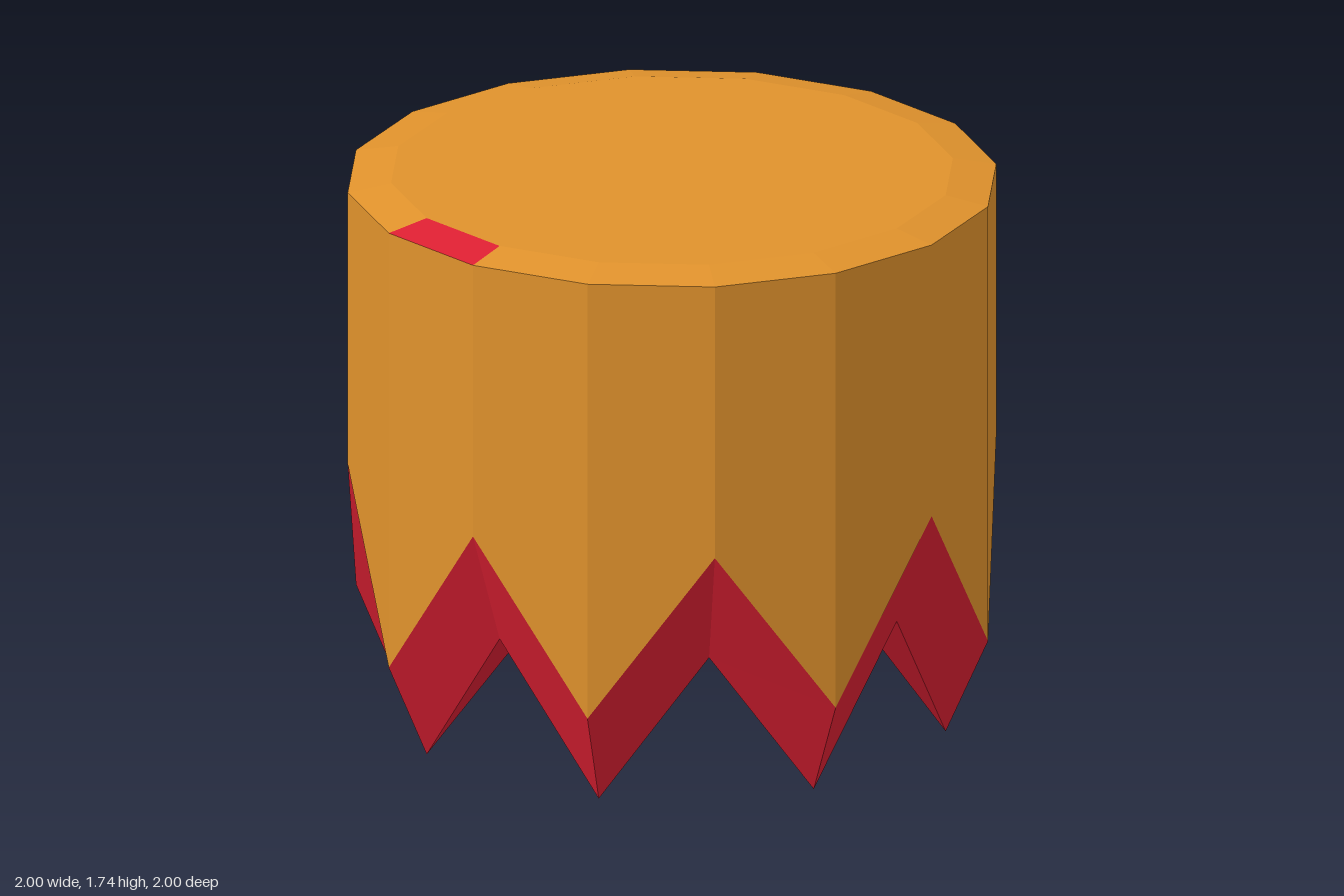
import * as THREE from 'three';

const SIDES = 16;

// Ring of points; height and radius may alternate between even and odd corners
function ring(radius, evenY, oddY = evenY) {
  return Array.from({ length: SIDES }, (_, i) => {
    const a = (i / SIDES) * Math.PI * 2;
    return [radius * Math.sin(a), i % 2 ? oddY : evenY, radius * Math.cos(a)];
  });
}

// Facets joining two rings between corners from..to, outward when going up the outside
function band(a, b, from = 0, to = SIDES) {
  const out = [];
  for (let i = from; i < to; i++) {
    const j = (i + 1) % SIDES;
    if (i % 2) out.push(a[i], a[j], b[j], a[i], b[j], b[i]);
    else out.push(a[i], a[j], b[i], a[j], b[j], b[i]);
  }
  return out;
}

function part(name, material, points) {
  const geometry = new THREE.BufferGeometry();
  geometry.setAttribute('position', new THREE.Float32BufferAttribute(points.flat(), 3));
  geometry.computeVertexNormals();
  const mesh = new THREE.Mesh(geometry, material);
  mesh.name = name;
  return mesh;
}

export function createModel() {
  const group = new THREE.Group();
  group.name = 'toothedDrum';
  const orange = new THREE.MeshStandardMaterial({ color: 0xe0922c, flatShading: true });
  const red = new THREE.MeshStandardMaterial({ color: 0xdc1f32, flatShading: true });

  // Profile rings, from the recessed underside out and up to the top
  const centreLow = ring(0, 0.485);
  const ceiling = ring(0.67, 0.485);
  const tips = ring(0.866, 0, 0.465);
  const hem = ring(1, 0.305, 0.835);
  const shoulder = ring(1, 1.715);
  const topEdge = ring(0.866, 1.74);
  const centreTop = ring(0, 1.74);

  // Underside and zigzag teeth
  group.add(part('underside', red, band(centreLow, ceiling)));
  group.add(part('teethInside', red, band(ceiling, tips)));
  group.add(part('teethOutside', red, band(tips, hem)));

  // Body wall, bevelled rim and flat top
  group.add(part('wall', orange, band(hem, shoulder)));
  group.add(part('rim', orange, [
    ...band(shoulder, topEdge, 0, 12),
    ...band(shoulder, topEdge, 13, SIDES),
  ]));
  group.add(part('top', orange, band(topEdge, centreTop)));

  // Single red facet of the rim
  group.add(part('rimPatch', red, band(shoulder, topEdge, 12, 13)));

  return group;
}
